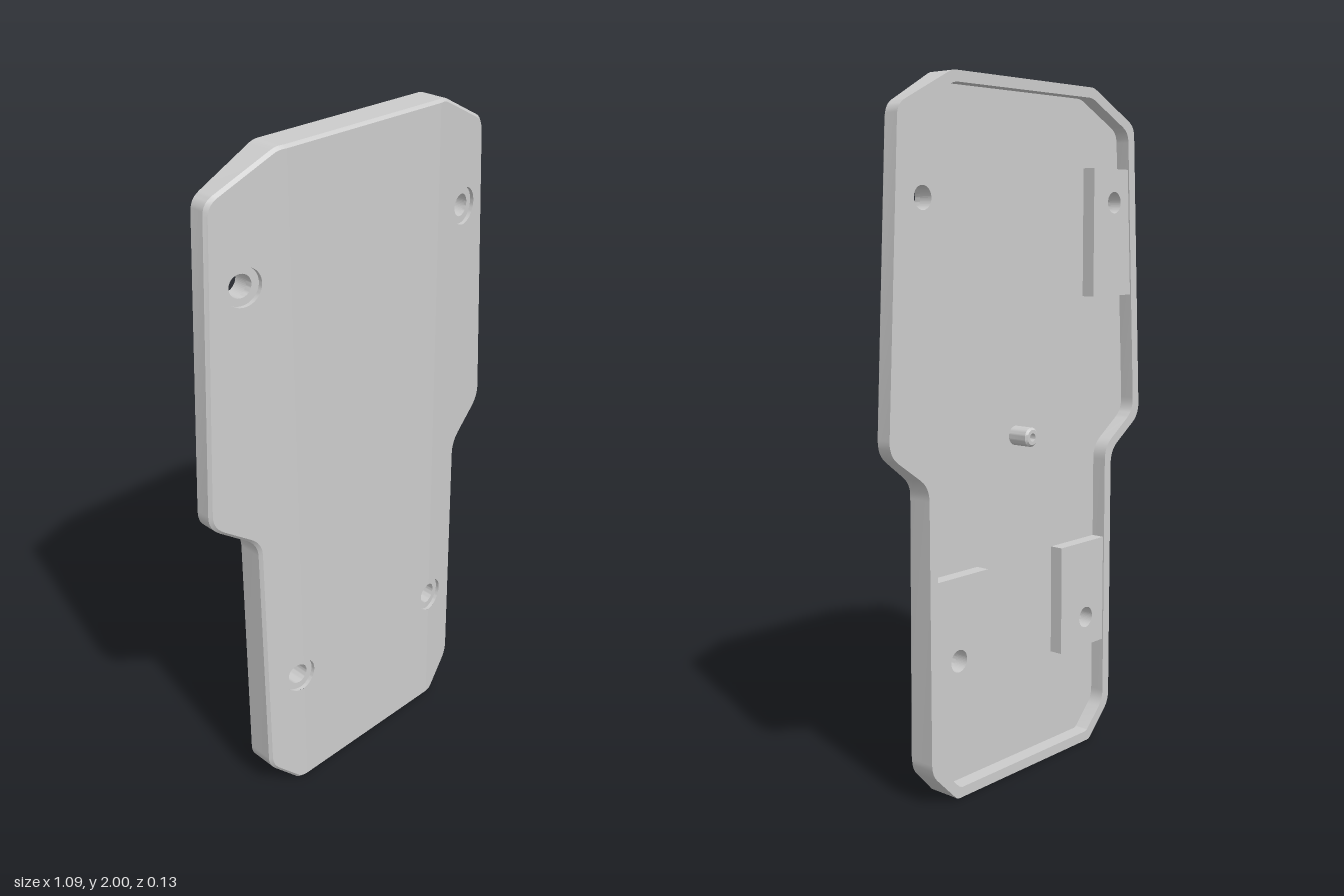
import * as THREE from 'three';
import { toCreasedNormals } from 'three/addons/utils/BufferGeometryUtils.js';

const BACK = -0.045, FLOOR = 0, CREASE = 0.275, BEVEL = 0.008, RIM = 0.03;
const HOLE = 0.032, BORE = 0.053, BORE_DEPTH = 0.012;
const UPPER = [0.41, 1.67], LOWER = [0.285, 0.4];

// height of the front face: tapers upward, falls away beyond the creases
const frontZ = (x, y) => 0.066 - 0.009 * y - 0.185 * Math.max(0, Math.abs(x) - CREASE);

// corners of the right half outline, top to bottom: x, y, rounding
const CORNERS = [
  [0.3, 2, 0.015], [0.5, 1.9, 0.03], [0.545, 1.01, 0.04],
  [0.4, 0.91, 0.04], [0.4, 0.1, 0.03], [0.3, 0, 0.01],
];

// half outline moved inward by t, corners rounded
function halfOutline(t) {
  const v = [[0, 2], ...CORNERS, [0, 0]].map(c => new THREE.Vector2(c[0], c[1]));
  const dir = i => v[i + 1].clone().sub(v[i]).normalize();
  const normal = i => { const d = dir(i); return new THREE.Vector2(d.y, -d.x); };
  const pts = [new THREE.Vector2(CREASE, 2 - t)];
  CORNERS.forEach((c, k) => {
    const i = k + 1, n1 = normal(i - 1), n2 = normal(i);
    const p = v[i].clone().addScaledVector(n1.clone().add(n2), t / (1 + n1.dot(n2)));
    const a = p.clone().addScaledVector(dir(i - 1), -c[2]);
    const b = p.clone().addScaledVector(dir(i), c[2]);
    pts.push(...new THREE.QuadraticBezierCurve(a, p, b).getPoints(6));
  });
  pts.push(new THREE.Vector2(CREASE, t));
  return pts;
}

const mirrorX = p => new THREE.Vector2(-p.x, p.y);

function outline(t) {
  const half = halfOutline(t);
  return [...half, ...half.map(mirrorX).reverse()];
}

function circle([cx, cy], r, n = 48) {
  return Array.from({ length: n }, (_, i) => {
    const a = (i / n) * Math.PI * 2;
    return new THREE.Vector2(cx + r * Math.cos(a), cy + r * Math.sin(a));
  });
}

const lift = (pts, z) => pts.map(p => new THREE.Vector3(p.x, p.y, z(p.x, p.y)));

// skin over a chain of closed loops with equal point counts
function skin(loops) {
  const pos = [];
  for (let k = 0; k + 1 < loops.length; k++) {
    const a = loops[k], b = loops[k + 1];
    a.forEach((p, i) => {
      const j = (i + 1) % a.length;
      for (const q of [p, b[i], b[j], p, b[j], a[j]]) pos.push(q.x, q.y, q.z);
    });
  }
  const g = new THREE.BufferGeometry();
  g.setAttribute('position', new THREE.Float32BufferAttribute(pos, 3));
  return toCreasedNormals(g, 0.5);
}

// flat shape draped onto the front face
function drape(shape) {
  const g = new THREE.ShapeGeometry(shape, 24), p = g.attributes.position;
  for (let i = 0; i < p.count; i++) p.setZ(i, frontZ(p.getX(i), p.getY(i)));
  g.computeVertexNormals();
  return g;
}

export function createModel() {
  const group = new THREE.Group();
  const mat = new THREE.MeshStandardMaterial({ color: 0xcccccc });
  const add = (name, geo) => {
    const m = new THREE.Mesh(geo, mat);
    m.name = name;
    group.add(m);
    return m;
  };

  // rim: inner wall, back edge, outer wall and front bevel
  const inner = outline(RIM), outer = outline(0);
  add('rim', skin([
    lift(inner, () => FLOOR),
    lift(inner, () => BACK),
    lift(outer, () => BACK),
    lift(outer, (x, y) => frontZ(x, y) - BEVEL),
    lift(outline(BEVEL), frontZ),
  ]));

  // recessed floor on the back, open at the screw holes
  const floor = new THREE.Shape(inner);
  for (const [x, y] of [UPPER, LOWER])
    for (const s of [1, -1]) floor.holes.push(new THREE.Path(circle([s * x, y], HOLE)));
  add('floor', new THREE.ShapeGeometry(floor).rotateY(Math.PI).translate(0, 0, FLOOR));

  // front panels; the lower bores straddle the creases
  const [cx, cy] = LOWER;
  const open = Math.acos((CREASE - cx) / BORE), dy = BORE * Math.sin(open);
  const centre = new THREE.Shape();
  centre.moveTo(-CREASE, 2 - BEVEL);
  centre.lineTo(CREASE, 2 - BEVEL);
  centre.lineTo(CREASE, cy + dy);
  centre.absarc(cx, cy, BORE, open, 2 * Math.PI - open, false);
  centre.lineTo(CREASE, BEVEL);
  centre.lineTo(-CREASE, BEVEL);
  centre.lineTo(-CREASE, cy - dy);
  centre.absarc(-cx, cy, BORE, Math.PI + open, 3 * Math.PI - open, false);
  add('frontCentre', drape(centre));

  const side = new THREE.Shape(halfOutline(BEVEL));
  side.lineTo(CREASE, cy - dy);
  side.absarc(cx, cy, BORE, -open, open, false);
  const sidePts = side.getPoints(24);

  // mounting pads behind the holes: inner x, outer x at bottom and top, y range
  const pads = [
    { hole: UPPER, x0: 0.31, xb: 0.505, xt: 0.485, y0: 1.39, y1: 1.77 },
    { hole: LOWER, x0: 0.165, xb: 0.38, xt: 0.38, y0: 0.31, y1: 0.64 },
  ];

  for (const s of [1, -1]) {
    const tag = s > 0 ? 'Left' : 'Right';
    const panel = new THREE.Shape(s > 0 ? sidePts : sidePts.map(mirrorX));
    panel.holes.push(new THREE.Path(circle([s * UPPER[0], UPPER[1]], BORE)));
    add('frontSide' + tag, drape(panel));

    pads.forEach(({ hole, x0, xb, xt, y0, y1 }, k) => {
      const name = (k ? 'lower' : 'upper') + tag;
      const c = [s * hole[0], hole[1]];
      const shape = new THREE.Shape([[x0, y0], [xb, y0], [xt, y1], [x0, y1]]
        .map(([x, y]) => new THREE.Vector2(s * x, y)));
      shape.holes.push(new THREE.Path(circle(c, HOLE)));
      const pad = new THREE.ExtrudeGeometry(shape, { depth: 0.041, bevelEnabled: false });
      add(name + 'Pad', pad.translate(0, 0, FLOOR - 0.041));

      // screw hole with a shallow counterbore
      const sunk = (x, y) => frontZ(x, y) - BORE_DEPTH;
      add(name + 'ScrewHole', skin([
        lift(circle(c, HOLE), () => FLOOR),
        lift(circle(c, HOLE), sunk),
        lift(circle(c, BORE), sunk),
        lift(circle(c, BORE), frontZ),
      ]));
    });
  }

  // hollow locating peg on the back
  const profile = [[0.028, 0], [0.028, 0.06], [0.022, 0.066], [0.012, 0.066], [0.012, 0.03], [0, 0.03]]
    .map(([r, h]) => new THREE.Vector2(r, h));
  const peg = add('peg', toCreasedNormals(new THREE.LatheGeometry(profile, 32), 0.5));
  peg.rotation.x = -Math.PI / 2;
  peg.position.set(0, 1, FLOOR);

  return group;
}
